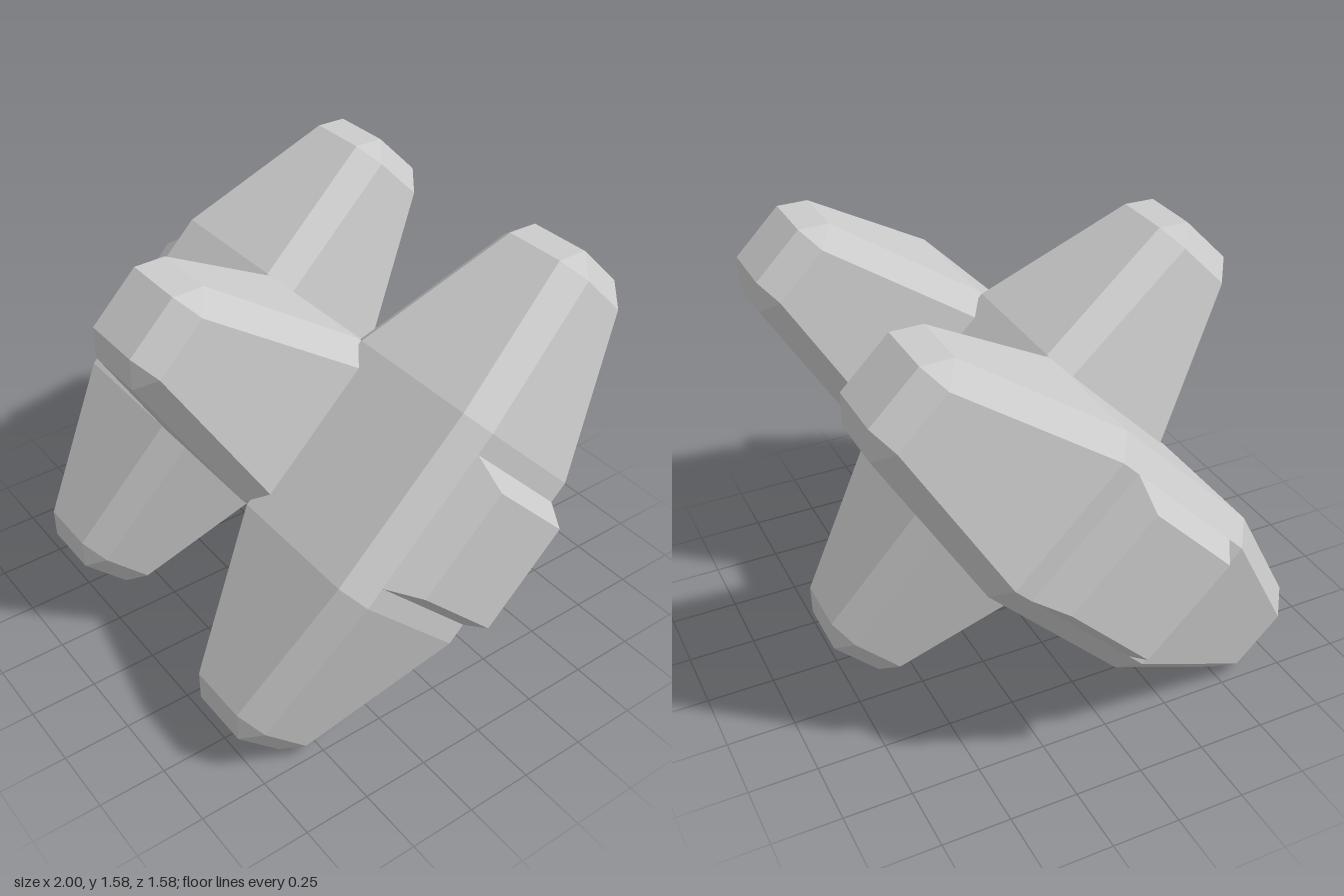
import * as THREE from 'three';

const material = new THREE.MeshStandardMaterial({ color: 0xcccccc, flatShading: true });

// Square outline of half width h whose corners are cut so each flat side has half width f
const outline = (h, f) => [[h, -f], [h, f], [f, h], [-f, h], [-h, f], [-h, -f], [-f, -h], [f, -h]];

// Joins sections [height, half width, flat half width] along y and caps both ends
function loft(sections) {
  const positions = [];
  const rings = sections.map(([y, h, f]) => outline(h, f).map(([x, z]) => [x, y, z]));
  const face = (...points) => points.forEach((p) => positions.push(...p));
  for (let s = 0; s < rings.length - 1; s++) {
    const low = rings[s], high = rings[s + 1];
    for (let i = 0; i < 8; i++) {
      const j = (i + 1) % 8;
      // skip triangles that collapse where a section has sharp corners
      if (low[i].join() !== low[j].join()) face(low[i], high[i], low[j]);
      if (high[i].join() !== high[j].join()) face(low[j], high[i], high[j]);
    }
  }
  const first = rings[0], last = rings[rings.length - 1];
  for (let i = 1; i < 7; i++) {
    face(first[0], first[i], first[i + 1]);
    face(last[0], last[i + 1], last[i]);
  }
  const geometry = new THREE.BufferGeometry();
  geometry.setAttribute('position', new THREE.Float32BufferAttribute(positions, 3));
  geometry.computeVertexNormals();
  return geometry;
}

export function createModel() {
  const model = new THREE.Group();
  model.name = 'crossedBars';

  // Bar: straight bevelled middle, tapering to a blunt tip at both ends
  const half = [[0.34, 0.34, 0.26], [0.92, 0.2, 0.118], [1, 0.118, 0.118]];
  const mirrored = half.map(([y, h, f]) => [-y, h, f]).reverse();
  const barGeometry = loft([...mirrored, ...half]);

  // Plug: square boss that narrows outwards
  const plugGeometry = loft([[0.88, 0.26, 0.26], [1, 0.205, 0.205]]);

  function addPart(name, geometry, x, rx, rz) {
    const mesh = new THREE.Mesh(geometry, material);
    mesh.name = name;
    mesh.position.set(x, 0.79, 0);
    mesh.rotation.set(rx, 0, rz);
    model.add(mesh);
  }

  const tilt = Math.PI / 4;
  addPart('middleBar', barGeometry, 0, tilt, 0);
  for (const [side, label] of [[1, 'left'], [-1, 'right']]) {
    addPart(label + 'Bar', barGeometry, side * 0.54, -tilt, 0);
    addPart(label + 'Plug', plugGeometry, 0, -tilt, -side * Math.PI / 2);
  }
  return model;
}
